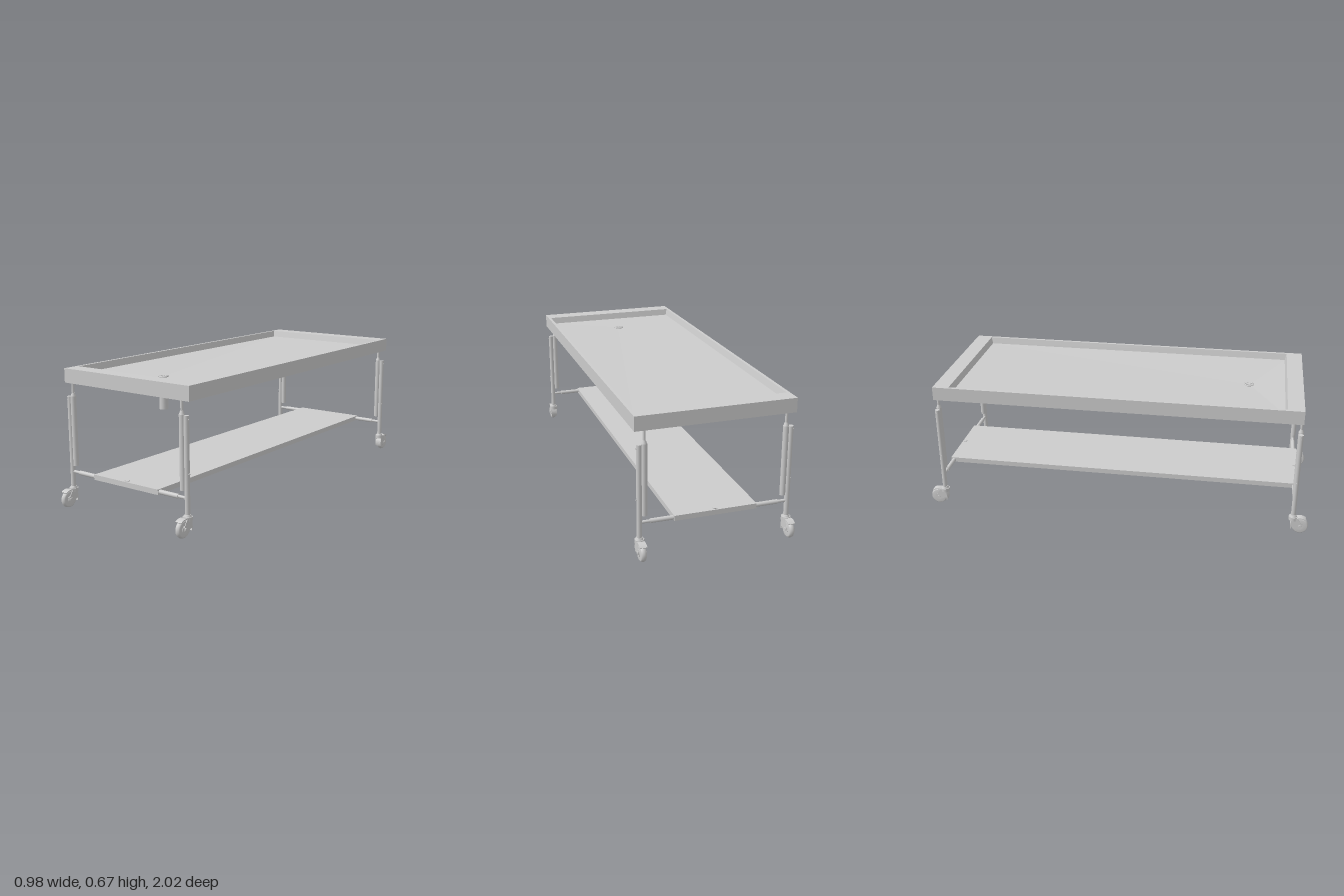
import * as THREE from 'three';

const material = new THREE.MeshStandardMaterial({ color: 0xcccccc, side: THREE.DoubleSide });

function add(parent, name, geometry, x = 0, y = 0, z = 0) {
  const mesh = new THREE.Mesh(geometry, material);
  mesh.name = name;
  mesh.position.set(x, y, z);
  parent.add(mesh);
  return mesh;
}

// Upright cylinder between two heights
function post(parent, name, r, y0, y1, x, z, rTop = r) {
  return add(parent, name, new THREE.CylinderGeometry(rTop, r, y1 - y0, 20), x, (y0 + y1) / 2, z);
}

// Cylinder lying along x
function rod(parent, name, r, x0, x1, y, z, rEnd = r) {
  const mesh = add(parent, name, new THREE.CylinderGeometry(r, rEnd, x1 - x0, 20), (x0 + x1) / 2, y, z);
  mesh.rotation.z = Math.PI / 2;
  return mesh;
}

// Skin over rectangular loops, each [halfX, halfZ, y, centreZ]
function rectLoft(loops) {
  const corners = [[1, 1], [1, -1], [-1, -1], [-1, 1]];
  const at = (l, c) => [l[0] * corners[c % 4][0], l[2], (l[3] || 0) + l[1] * corners[c % 4][1]];
  const points = [];
  for (let i = 0; i < loops.length - 1; i++) {
    for (let c = 0; c < 4; c++) {
      const a = at(loops[i], c), b = at(loops[i], c + 1);
      const d = at(loops[i + 1], c), e = at(loops[i + 1], c + 1);
      points.push(...a, ...b, ...e, ...a, ...e, ...d);
    }
  }
  const geometry = new THREE.BufferGeometry();
  geometry.setAttribute('position', new THREE.Float32BufferAttribute(points, 3));
  geometry.computeVertexNormals();
  return geometry;
}

function createCaster() {
  const caster = new THREE.Group();
  caster.name = 'caster';
  // Wheel with a rounded tread, centred behind the stem
  const profile = [[0.012, -0.013], [0.034, -0.013], [0.039, -0.009], [0.042, 0],
    [0.039, 0.009], [0.034, 0.013], [0.012, 0.013]].map(p => new THREE.Vector2(...p));
  const wheel = add(caster, 'wheel', new THREE.LatheGeometry(profile, 32), 0, 0.042, 0.035);
  wheel.rotation.z = Math.PI / 2;
  rod(caster, 'axle', 0.008, -0.021, 0.021, 0.042, 0.035);
  rod(caster, 'hub', 0.018, -0.015, 0.015, 0.042, 0.035);
  // Curved hood over the upper inner part of the wheel
  const hood = new THREE.Shape();
  hood.absarc(0, 0, 0.047, 0.9, 3.5, false);
  hood.absarc(0, 0, 0.0425, 3.5, 0.9, true);
  const hoodMesh = add(caster, 'hood',
    new THREE.ExtrudeGeometry(hood, { depth: 0.034, bevelEnabled: false, curveSegments: 16 }), 0.017, 0.042, 0.035);
  hoodMesh.rotation.y = -Math.PI / 2;
  // Fork cheeks from the swivel down to the axle
  const cheek = new THREE.Shape([[-0.047, 0.0], [-0.008, -0.012], [0.010, -0.004], [0.010, 0.010],
    [-0.012, 0.044], [-0.042, 0.040]].map(p => new THREE.Vector2(...p)));
  for (const side of [-1, 1]) {
    const mesh = add(caster, 'forkCheek',
      new THREE.ExtrudeGeometry(cheek, { depth: 0.003, bevelEnabled: false }), side * 0.0165 + 0.0015, 0.042, 0.035);
    mesh.rotation.y = -Math.PI / 2;
  }
  post(caster, 'swivel', 0.022, 0.072, 0.09, 0, 0);
  post(caster, 'swivelCap', 0.018, 0.09, 0.099, 0, 0, 0.014);
  return caster;
}

function createLeg(sx, sz) {
  const leg = new THREE.Group();
  leg.name = 'leg';
  const x = sx * 0.354, z = sz * 0.897, inner = sx * 0.33;
  post(leg, 'legTube', 0.012, 0.095, 0.537, x, z);
  // Height adjusting strut beside the leg
  post(leg, 'strutSleeve', 0.0135, 0.203, 0.54, inner, z);
  post(leg, 'strutCollar', 0.0125, 0.54, 0.556, inner, z, 0.007);
  post(leg, 'strutRod', 0.0065, 0.55, 0.605, inner, z);
  for (const y of [0.28, 0.52]) {
    rod(leg, 'bolt', 0.004, x - 0.0145, x + 0.0145, y, z);
  }
  const caster = createCaster();
  caster.position.set(x, 0, z);
  if (sz < 0) caster.rotation.y = Math.PI;
  leg.add(caster);
  return leg;
}

export function createModel() {
  const model = new THREE.Group();
  model.name = 'washTable';
  const table = new THREE.Group();
  table.name = 'table';
  table.rotation.y = -0.124;
  model.add(table);

  // Tray: underside, outer walls, rim, inner walls, floor falling to the drain
  add(table, 'tray', rectLoft([
    [0, 0, 0.6], [0.376, 0.904, 0.6], [0.376, 0.904, 0.668], [0.361, 0.824, 0.668],
    [0.353, 0.816, 0.635], [0.01, 0.01, 0.628, 0.635], [0, 0, 0.628, 0.635],
  ]));

  // Drain with a ring, cross bars and outlet pipe
  const ring = add(table, 'drainRing', new THREE.TorusGeometry(0.02, 0.004, 8, 24), 0, 0.63, 0.635);
  ring.rotation.x = Math.PI / 2;
  for (let i = 0; i < 3; i++) {
    const bar = add(table, 'drainBar', new THREE.BoxGeometry(0.05, 0.004, 0.005), 0, 0.632, 0.635);
    bar.rotation.y = i * Math.PI / 3;
  }
  post(table, 'drainPipe', 0.021, 0.475, 0.605, 0, 0.635);

  // Lower shelf
  add(table, 'shelf', new THREE.BoxGeometry(0.394, 0.025, 1.824), 0, 0.172, 0);

  for (const sz of [-1, 1]) {
    const z = sz * 0.897;
    // Cross bar with slim pins at the legs
    rod(table, 'crossBar', 0.0105, -0.305, 0.305, 0.171, z);
    for (const sx of [-1, 1]) {
      const a = sx * 0.3, b = sx * 0.35;
      rod(table, 'crossBarPin', 0.007, Math.min(a, b), Math.max(a, b), 0.171, z);
      table.add(createLeg(sx, sz));
    }
    // Small shelf catch
    add(table, 'shelfCatch', new THREE.BoxGeometry(0.02, 0.006, 0.014), 0, 0.185, z);
  }
  return model;
}
